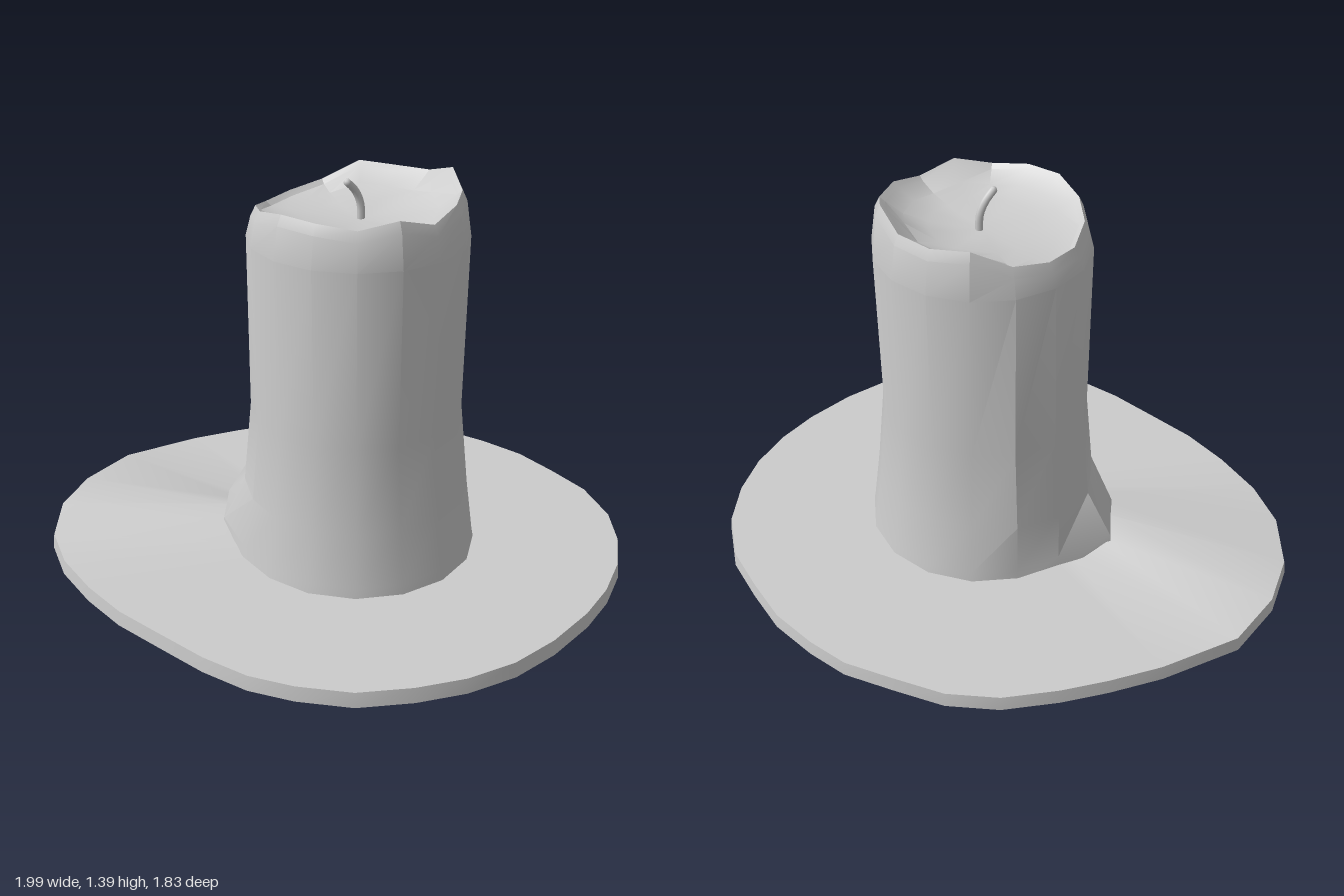
import * as THREE from 'three';
import { toCreasedNormals } from 'three/addons/utils/BufferGeometryUtils.js';

const material = new THREE.MeshStandardMaterial({ color: 0xcccccc, side: THREE.DoubleSide });
const CX = 0.085; // axis of the candle

// Skin a list of closed rings (each a list of [x, y, z]), running outside-up then inwards
function loft(rings, crease) {
  const n = rings[0].length;
  const index = [];
  for (let i = 0; i < rings.length - 1; i++) {
    for (let j = 0; j < n; j++) {
      const k = (j + 1) % n;
      const a = i * n + j, b = i * n + k, c = a + n, d = b + n;
      if (i < rings.length - 2) index.push(a, c, b, b, c, d);
      else index.push(a, c, b); // last ring is a single point
    }
  }
  const geometry = new THREE.BufferGeometry();
  geometry.setAttribute('position', new THREE.Float32BufferAttribute(rings.flat(2), 3));
  geometry.setIndex(index);
  return toCreasedNormals(geometry, crease);
}

function polar(angle, r, y) {
  return [CX + Math.cos(angle) * r, y, Math.sin(angle) * r];
}

function ring(n, radius, height) {
  return Array.from({ length: n }, (_, j) => polar((j / n) * Math.PI * 2, radius(j), height(j)));
}

function addMesh(group, name, geometry) {
  const mesh = new THREE.Mesh(geometry, material);
  mesh.name = name;
  group.add(mesh);
  return mesh;
}

// Candle: 16-sided body, uneven melted rim and a hollow pool on top
function candleGeometry() {
  const n = 16;
  const rim = [1.305, 1.34, 1.315, 1.33, 1.335, 1.31, 1.29, 1.265,
    1.27, 1.29, 1.35, 1.34, 1.345, 1.385, 1.345, 1.335];
  // Drip that flares out on the right side, indexed by side number
  const drip = { 5: 0.01, 6: 0.065, 7: 0.105, 8: 0.01 };
  const bulge = { 6: 0.01, 7: 0.035, 8: 0.03, 9: 0.02 };
  const rings = [
    ring(n, (j) => 0.422 + (drip[j] || 0), () => 0.03),
    ring(n, (j) => 0.412 + (drip[j] || 0), (j) => (j === 6 || j === 7 ? 0.12 : 0.09)),
    ring(n, (j) => 0.388 + (bulge[j] || 0), () => 0.28),
    ring(n, (j) => 0.359 + (bulge[j] || 0), () => 0.58),
    ring(n, () => 0.37, () => 1.19),
    ring(n, () => 0.353, (j) => rim[j] - 0.035),
    ring(n, () => 0.336, (j) => rim[j]),
    ring(n, () => 0.318, (j) => rim[j] - 0.015),
  ];
  // Bowl shape fading from the wavy rim to a level pool
  for (const [r, t] of [[0.26, 0.5], [0.18, 0.8], [0.09, 0.95], [0, 1]]) {
    rings.push(ring(n, () => r, (j) => THREE.MathUtils.lerp(rim[j] - 0.015, 1.245, t)));
  }
  return loft(rings, 0.42);
}

// Puddle: irregular outline with a wax run swelling towards the candle
function puddleGeometry() {
  const outline = [
    [0.99, 0], [0.98, 0.18], [0.93, 0.35], [0.85, 0.5], [0.74, 0.65], [0.59, 0.76], [0.45, 0.83], [0.28, 0.87],
    [0.09, 0.89], [-0.11, 0.91], [-0.3, 0.9], [-0.5, 0.865], [-0.68, 0.79], [-0.85, 0.64], [-0.95, 0.46], [-1, 0.23],
    [-0.93, -0.06], [-0.86, -0.24], [-0.79, -0.39], [-0.69, -0.56], [-0.56, -0.69], [-0.4, -0.78], [-0.24, -0.865], [-0.09, -0.9],
    [0.09, -0.92], [0.27, -0.9], [0.45, -0.87], [0.63, -0.78], [0.76, -0.66], [0.86, -0.52], [0.93, -0.36], [0.97, -0.2],
  ];
  const swell = { 11: 0.02, 12: 0.055, 13: 0.07, 14: 0.04 };
  const scaled = (s, y) => outline.map(([x, z]) => [x * s, y, z * s]);
  const inner = ring(32, (j) => (swell[j] ? 0.47 : 0.38), (j) => 0.055 + (swell[j] || 0));
  const centre = outline.map(() => [CX, 0.055, 0]);
  const top = loft([scaled(1, 0), scaled(0.994, 0.052), inner, centre], 0.5);
  return { top, outline };
}

export function createModel() {
  const model = new THREE.Group();
  model.name = 'candle';
  addMesh(model, 'candleBody', candleGeometry());

  const { top, outline } = puddleGeometry();
  addMesh(model, 'waxPuddle', top);

  // Flat underside of the puddle
  const shape = new THREE.Shape(outline.map(([x, z]) => new THREE.Vector2(x, z)));
  addMesh(model, 'puddleUnderside', new THREE.ShapeGeometry(shape).rotateX(Math.PI / 2));

  // Wick curling towards the front
  const path = new THREE.CatmullRomCurve3([
    new THREE.Vector3(0.085, 1.235, -0.012),
    new THREE.Vector3(0.085, 1.3, -0.008),
    new THREE.Vector3(0.08, 1.345, 0.012),
    new THREE.Vector3(0.077, 1.375, 0.042),
  ]);
  addMesh(model, 'wick', new THREE.TubeGeometry(path, 8, 0.013, 8));
  const tip = addMesh(model, 'wickTip', new THREE.SphereGeometry(0.013, 8, 6));
  tip.position.copy(path.getPoint(1));
  return model;
}
